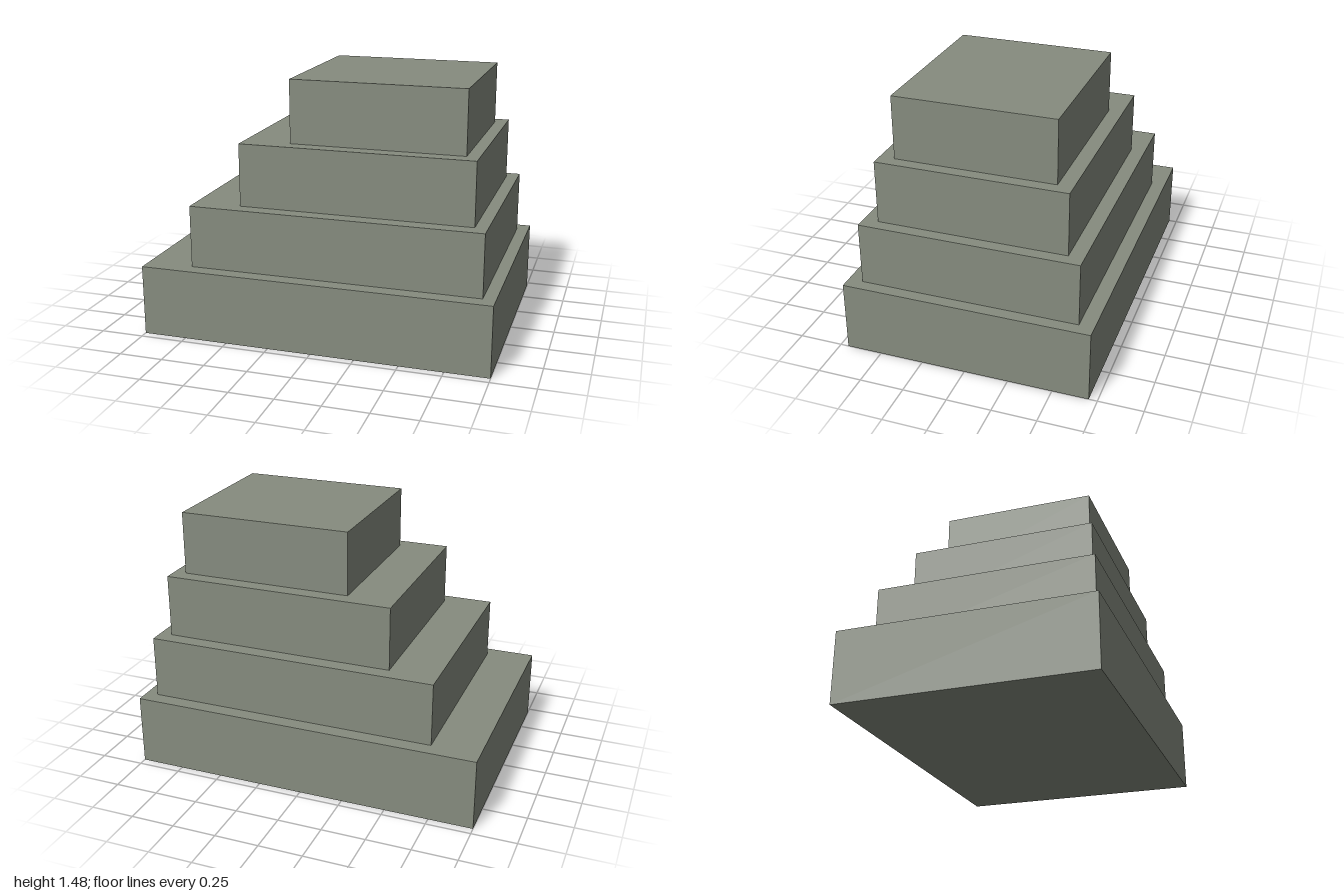
import * as THREE from 'three';

export function createModel() {
  const model = new THREE.Group();
  model.name = 'steppedBlock';
  const stone = new THREE.MeshStandardMaterial({ color: 0x868c7f });
  stone.name = 'greyGreenStone';

  // Each tier: name, left x, right x, half depth, bottom y, top y
  const tiers = [
    ['baseTier', -1, 1, 0.703, 0, 0.406],
    ['secondTier', -0.73, 0.93, 0.619, 0.406, 0.763],
    ['thirdTier', -0.46, 0.86, 0.534, 0.763, 1.12],
    ['topTier', -0.19, 0.79, 0.449, 1.12, 1.477],
  ];

  // Stacked slabs, set back further on the -x side
  for (const [name, x0, x1, halfDepth, y0, y1] of tiers) {
    const tier = new THREE.Mesh(new THREE.BoxGeometry(x1 - x0, y1 - y0, halfDepth * 2), stone);
    tier.name = name;
    tier.position.set((x0 + x1) / 2, (y0 + y1) / 2, 0);
    model.add(tier);
  }
  return model;
}
